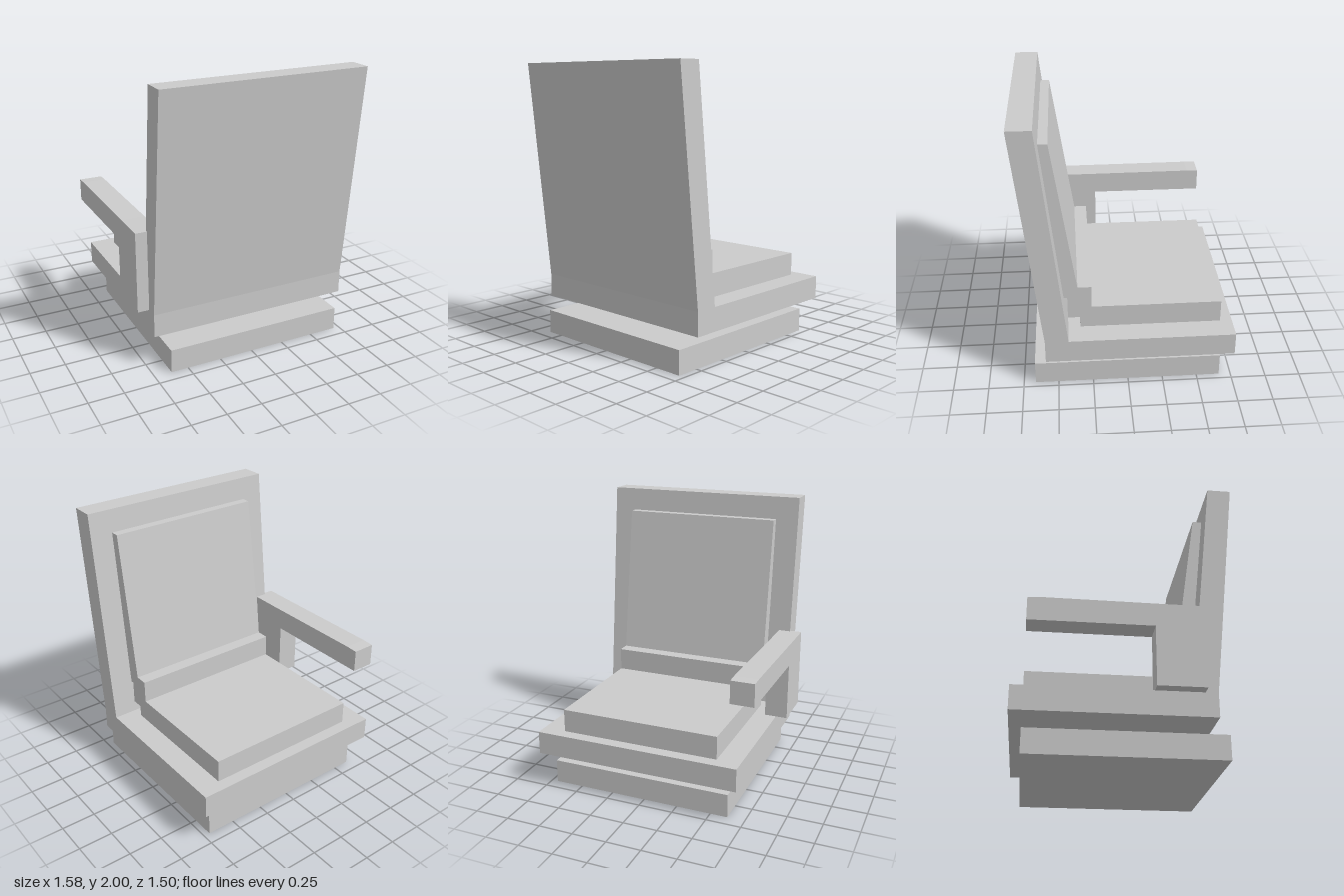
import * as THREE from 'three';

const material = new THREE.MeshStandardMaterial({ color: 0xcccccc, flatShading: true });

// Extrude a side profile of [z, y] points across the width from x0 to x1
function slab(name, x0, x1, profile) {
  const shape = new THREE.Shape(profile.map(([z, y]) => new THREE.Vector2(z, y)));
  const geometry = new THREE.ExtrudeGeometry(shape, { depth: x1 - x0, bevelEnabled: false });
  geometry.rotateY(-Math.PI / 2).translate(x1, 0, 0);
  const mesh = new THREE.Mesh(geometry, material);
  mesh.name = name;
  return mesh;
}

const rect = (z0, z1, y0, y1) => [[z0, y0], [z1, y0], [z1, y1], [z0, y1]];

export function createModel() {
  const group = new THREE.Group();
  group.name = 'chair';
  group.add(
    // Foot plate and short pedestal
    slab('base', -0.625, 0.705, rect(-0.665, 0.665, 0, 0.17)),
    slab('pedestal', -0.21, 0.29, rect(-0.247, 0.247, 0.17, 0.253)),
    // Seat platform with the leaning backrest in one piece
    slab('frame', -0.71, 0.79, [
      [-0.75, 0.253], [0.582, 0.253], [0.582, 0.42], [0.75, 2],
      [0.585, 2], [0.418, 0.42], [-0.75, 0.42],
    ]),
    // Seat and back cushion, with a stepped gap behind
    slab('cushion', -0.542, 0.622, [
      [-0.665, 0.42], [0.333, 0.42], [0.333, 0.502], [0.418, 0.502],
      [0.418, 0.67], [0.443, 0.67], [0.567, 1.835], [0.503, 1.835],
      [0.345, 0.752], [0.25, 0.752], [0.25, 0.587], [-0.665, 0.587],
    ]),
    // Single armrest with its rear post
    slab('armrest', -0.793, -0.625, [
      [0.17, 0.42], [0.497, 0.42], [0.497, 1], [0.25, 1], [-0.58, 1.004],
      [-0.665, 1], [-0.665, 0.837], [0.17, 0.837],
    ]),
  );
  return group;
}
